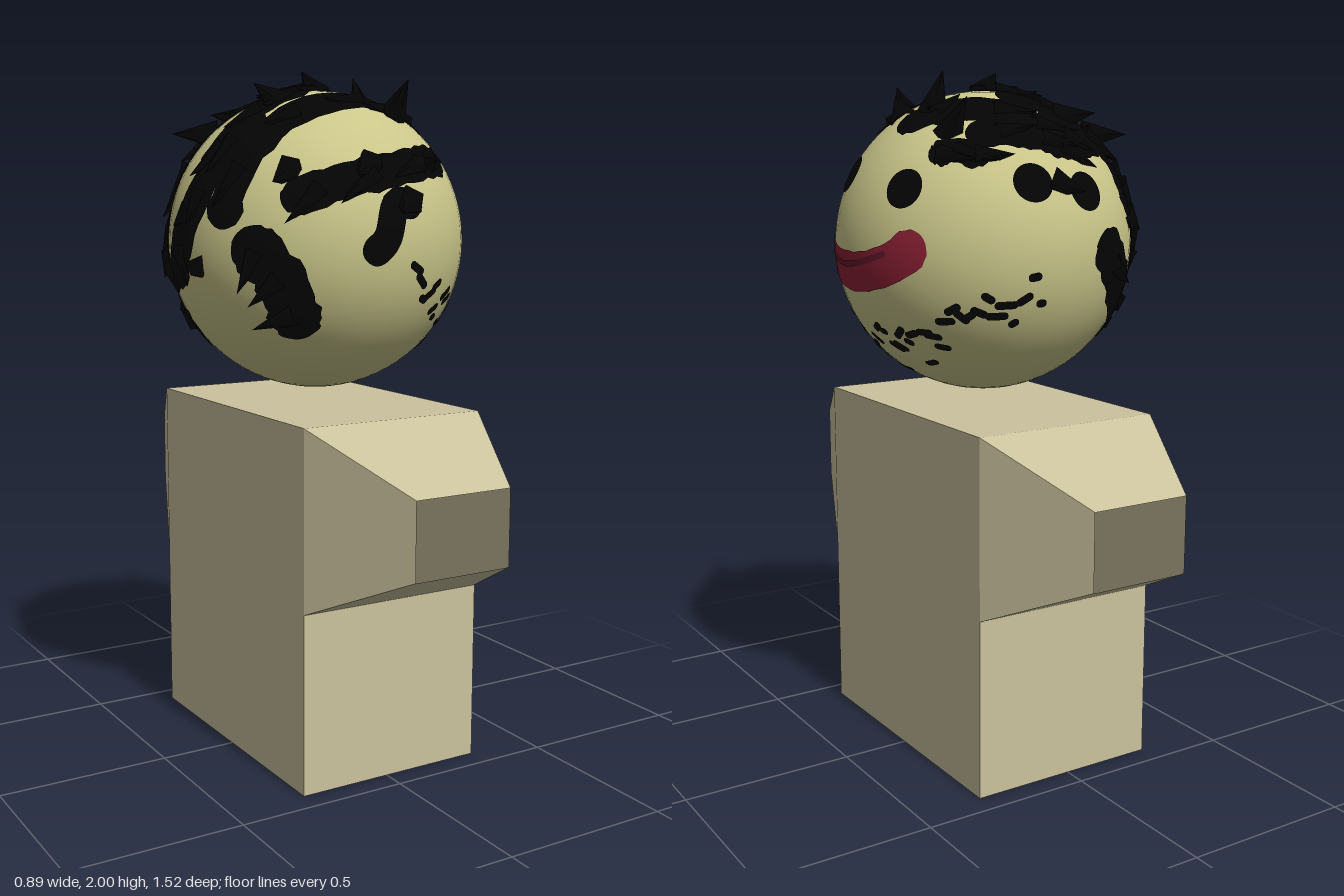
import * as THREE from 'three';
import { mergeGeometries } from 'three/addons/utils/BufferGeometryUtils.js';

const R = 0.433;
const CENTER = new THREE.Vector3(0.015, 1.51, 0.005);
const V = (x, y, z) => new THREE.Vector3(x, y, z);
const mat = (color, side = THREE.FrontSide) => new THREE.MeshStandardMaterial({ color, side });

let seed = 7;
const rand = () => (seed = (seed * 16807) % 2147483647) / 2147483647;

function named(name, geometry, material) {
  const mesh = new THREE.Mesh(geometry, material);
  mesh.name = name;
  return mesh;
}

// Flat-faced shell from a list of four-cornered faces
function quads(list) {
  const pos = list.flatMap(([a, b, c, d]) => [a, b, c, a, c, d].flatMap(v => v.toArray()));
  const g = new THREE.BufferGeometry();
  g.setAttribute('position', new THREE.Float32BufferAttribute(pos, 3));
  g.computeVertexNormals();
  return g;
}
const ring = (x0, x1, y0, y1, z) => [V(x0, y0, z), V(x1, y0, z), V(x1, y1, z), V(x0, y1, z)];
const loft = (a, b) => a.map((p, i) => [p, a[(i + 1) % 4], b[(i + 1) % 4], b[i]]);

// Direction on the head, from a point (a right, b up) seen along a side
function sideFrame(toward, up) {
  const c = toward.clone().normalize();
  const r = up.clone().cross(c).normalize();
  const u = c.clone().cross(r);
  return (a, b) => V(0, 0, 0)
    .addScaledVector(r, a).addScaledVector(u, b)
    .addScaledVector(c, Math.sqrt(Math.max(0, 1 - a * a - b * b))).normalize();
}
const Y = V(0, 1, 0);
const onFace = sideFrame(V(1, 0, 0), Y);
const onSide = sideFrame(V(0, 0, 1), Y);
const onTop = sideFrame(Y, V(0, 0, -1));
const onBack = sideFrame(V(-0.636, 0.44, -0.636), Y);

// Painted stroke with round ends that hugs the head
function stroke(dirs, hw, lift = 1.006, rough = 0) {
  const curve = new THREE.CatmullRomCurve3(dirs);
  const L = curve.getLength(), n = 28, m = 6;
  const pos = [], nor = [], idx = [];
  for (let i = 0; i <= n; i++) {
    const t = (1 - Math.cos(Math.PI * i / n)) / 2;
    const p = curve.getPointAt(t).normalize();
    const s = p.clone().cross(curve.getTangentAt(t)).normalize();
    const h = Math.min(hw, L / 2), d = Math.min(t, 1 - t) * L;
    let w = d < h ? hw * Math.sqrt(Math.max(0, 1 - (1 - d / h) ** 2)) : hw;
    w *= 1 + rough * (rand() - 0.5);
    for (let j = 0; j <= m; j++) {
      const q = p.clone().addScaledVector(s, w * (2 * j / m - 1)).normalize();
      nor.push(...q.toArray());
      pos.push(...q.multiplyScalar(R * lift).toArray());
      if (i < n && j < m) {
        const a = i * (m + 1) + j, b = a + m + 1;
        idx.push(a, b, b + 1, a, b + 1, a + 1);
      }
    }
  }
  const g = new THREE.BufferGeometry();
  g.setAttribute('position', new THREE.Float32BufferAttribute(pos, 3));
  g.setAttribute('normal', new THREE.Float32BufferAttribute(nor, 3));
  g.setIndex(idx);
  return g;
}
const dot = (d, r) => {
  const s = d.clone().cross(Y).normalize().multiplyScalar(r);
  return stroke([d.clone().sub(s), d.clone(), d.clone().add(s)], r);
};

// Pointed tuft from a base on the head to a tip
function spike(base, tip, radius) {
  const axis = tip.clone().sub(base), len = axis.length();
  const g = new THREE.ConeGeometry(radius, len, 5, 1, true);
  g.translate(0, len / 2, 0);
  g.applyQuaternion(new THREE.Quaternion().setFromUnitVectors(Y, axis.normalize()));
  return g.translate(base.x, base.y, base.z);
}

export function createModel() {
  const model = new THREE.Group();
  const shirtMat = mat(0xcac29d, THREE.DoubleSide);
  const hairMat = mat(0x040404, THREE.DoubleSide);

  // Torso, open where the sleeves join
  const [x0, x1, top, mid, zb] = [-0.275, 0.302, 1.035, 0.52, 0.433];
  const wall = z => ring(x0, x1, 0, mid, z);
  model.add(named('torso', quads([
    ...loft(ring(x0, x1, 0, top, -zb), ring(x0, x1, 0, top, zb)),
    wall(zb), wall(-zb).reverse(),
  ]), shirtMat));

  // Tapered open sleeves
  const cuff = z => ring(-0.137, 0.163, 0.672, 0.887, z);
  const shoulder = z => ring(x0, x1, mid, top, z);
  model.add(named('sleeveFront', quads(loft(shoulder(zb), cuff(0.76))), shirtMat));
  model.add(named('sleeveBack', quads(loft(cuff(-0.76), shoulder(-zb))), shirtMat));

  // Head
  const head = new THREE.Group();
  head.name = 'head';
  head.position.copy(CENTER);
  model.add(head);
  head.add(named('skull', new THREE.SphereGeometry(R, 64, 40), mat(0xcac68a)));

  // Eyes and mouth
  [[-0.26, 0.46], [0.4, 0.39]].forEach(([a, b]) =>
    head.add(named('eye', dot(onFace(a, b), 0.13), hairMat)));
  const smile = [[-0.6, 0.14], [-0.42, -0.07], [0, -0.15], [0.38, -0.07], [0.59, 0.09]];
  head.add(named('lips', stroke(smile.map(p => onFace(...p)), 0.13, 1.006, 0.12), mat(0x8c2034)));
  const gap = [[-0.4, -0.03], [-0.15, -0.1], [0.1, -0.08], [0.35, -0.01]];
  head.add(named('mouthLine', stroke(gap.map(p => onFace(...p)), 0.02, 1.01), mat(0x64182a)));

  // Stubble along the jaw
  const stubble = [];
  for (let i = 0; i < 48; i++) {
    const a = (i / 47 * 2 - 1) * 1.4;
    const y = -0.66 + 0.24 * a * a + (rand() - 0.5) * 0.32;
    const h = Math.sqrt(1 - y * y);
    const d = V(h * Math.cos(a), y, h * Math.sin(a));
    const e = V(-d.z, (rand() - 0.5) * 2, d.x).normalize().multiplyScalar(0.035 + 0.04 * rand());
    stubble.push(stroke([d.clone().sub(e), d, d.clone().add(e)], 0.027));
  }
  head.add(named('stubble', mergeGeometries(stubble), hairMat));

  // Ear marks on both sides
  const ear = [[-0.22, -0.08], [-0.08, 0.03], [0.02, 0.26], [0.2, 0.23]];
  head.add(named('ear', stroke(ear.map(p => onSide(...p)), 0.1), hairMat));
  head.add(named('ear', dot(onBack(-0.51, -0.01), 0.13), hairMat));
  head.add(named('ear', dot(onBack(-0.76, 0.17), 0.13), hairMat));

  // Hair locks: frame, half width, path
  const locks = [
    [onSide, 0.12, [[-0.66, 0.26], [-0.3, 0.4], [0.1, 0.48], [0.56, 0.53]]],
    [onSide, 0.14, [[-0.92, 0.1], [-0.72, 0.57], [-0.38, 0.83], [0, 0.92], [0.46, 0.82]]],
    [onSide, 0.17, [[-0.86, 0.08], [-0.68, -0.2], [-0.48, -0.58]]],
    [onTop, 0.22, [[-0.88, 0.38], [-0.45, 0.52], [0.02, 0.76]]],
    [onTop, 0.16, [[-0.1, 0.72], [0.2, 0.45], [0.66, 0.02]]],
    [onTop, 0.13, [[-0.2, 0.16], [-0.06, 0.06], [0.12, 0.0]]],
    [onTop, 0.15, [[-0.9, -0.14], [-0.5, -0.12], [-0.12, -0.08]]],
    [onTop, 0.1, [[0.4, 0.72], [0.55, 0.56], [0.68, 0.45]]],
    [onTop, 0.13, [[0.2, -0.42], [0.48, -0.35], [0.56, -0.1]]],
    [onBack, 0.19, [[-0.25, 0.8], [0.05, 0.35], [0.03, -0.3]]],
    [onBack, 0.17, [[-0.48, -0.3], [-0.05, -0.74], [0.45, -0.84]]],
    [onBack, 0.15, [[0.5, 0.65], [0.75, 0.05], [0.55, -0.6]]],
    [onBack, 0.15, [[0.03, -0.2], [0.25, -0.5], [0.5, -0.55]]],
    [onBack, 0.12, [[-0.7, 0.62], [-0.52, 0.4], [-0.42, 0.25]]],
  ];
  const tufts = [];
  for (const [frame, hw, pts] of locks) {
    const dirs = pts.map(p => frame(...p));
    head.add(named('hairLock', stroke(dirs, hw, 1.009, 0.25), hairMat));
    // Low tufts lying back along the head
    const path = new THREE.CatmullRomCurve3(dirs);
    for (let t = 0.2; t < 0.95; t += 0.3) {
      const d = path.getPoint(t).normalize();
      const lean = V(-1, -0.6, rand() - 0.5).projectOnPlane(d).setLength(0.1 + 0.05 * rand());
      const tip = d.clone().multiplyScalar(R).add(lean).setLength(R * (1.03 + 0.03 * rand()));
      tufts.push(spike(d.multiplyScalar(R * 0.98), tip, 0.035));
    }
  }

  // Long tufts, by tip position
  const tips = [
    [0.21, 1.995, -0.1], [-0.04, 1.995, 0.02], [0.12, 1.96, 0.33], [0.25, 1.92, -0.29],
    [0.25, 1.93, 0.1], [-0.24, 1.95, 0.1], [-0.35, 1.82, -0.2], [-0.435, 1.56, -0.02],
    [-0.41, 1.42, 0.1], [-0.31, 1.68, 0.33], [0.01, 1.6, 0.47], [-0.1, 1.7, 0.42],
    [0.16, 1.74, 0.41], [-0.04, 1.67, -0.43], [-0.2, 1.88, -0.25], [-0.33, 1.55, -0.3],
  ];
  for (const p of tips) {
    const tip = V(...p).sub(CENTER);
    const base = tip.clone().normalize().add(V(0.15, 0.08, -0.08 * Math.sign(tip.z)));
    tufts.push(spike(base.setLength(R * 0.97), tip, 0.045));
  }
  head.add(named('hairTufts', mergeGeometries(tufts), hairMat));

  return model;
}
